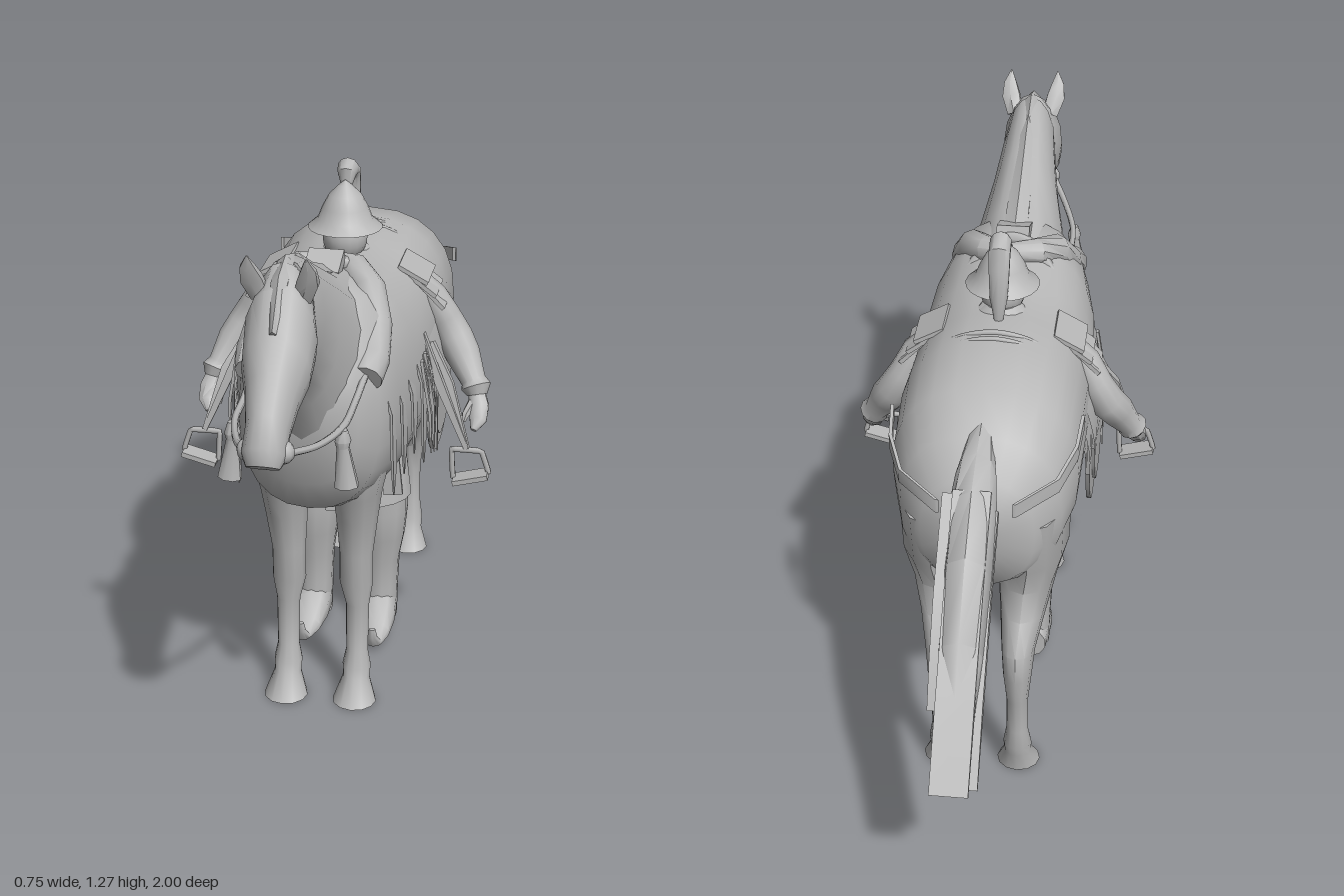
import * as THREE from 'three';
import { toCreasedNormals } from 'three/addons/utils/BufferGeometryUtils.js';

const V = (x, y, z) => new THREE.Vector3(x, y, z);

export function createModel() {
  const root = new THREE.Group();
  const grey = new THREE.MeshStandardMaterial({ color: 0xb8b8b8, side: THREE.DoubleSide });
  grey.name = 'plain grey';

  const add = (name, geo, x = 0, y = 0, z = 0, rx = 0, ry = 0, rz = 0) => {
    const m = new THREE.Mesh(geo, grey);
    m.name = name;
    m.position.set(x, y, z);
    m.rotation.set(rx, ry, rz);
    root.add(m);
    return m;
  };
  const sides = (fn) => [1, -1].forEach((s) => fn(s, s > 0 ? 'left' : 'right'));

  // Skin a row of equal rings, cap the ends and keep faces outward
  function skin(name, rings, caps = true, crease = 0.8) {
    const n = rings[0].length, pos = [], idx = [];
    rings.forEach((r) => r.forEach((p) => pos.push(p.x, p.y, p.z)));
    for (let i = 0; i < rings.length - 1; i++) for (let j = 0; j < n; j++) {
      const a = i * n + j, b = i * n + (j + 1) % n;
      idx.push(a, b, b + n, a, b + n, a + n);
    }
    if (caps) [0, rings.length - 1].forEach((e) => {
      const c = V(0, 0, 0);
      rings[e].forEach((p) => c.addScaledVector(p, 1 / n));
      const k = pos.push(c.x, c.y, c.z) / 3 - 1;
      for (let j = 0; j < n; j++) {
        const a = e * n + j, b = e * n + (j + 1) % n;
        e ? idx.push(k, a, b) : idx.push(k, b, a);
      }
    });
    const at = (i) => V(pos[3 * i], pos[3 * i + 1], pos[3 * i + 2]);
    let vol = 0;
    for (let i = 0; i < idx.length; i += 3) vol += at(idx[i]).dot(at(idx[i + 1]).cross(at(idx[i + 2])));
    if (vol < 0) idx.reverse();
    const g = new THREE.BufferGeometry();
    g.setAttribute('position', new THREE.Float32BufferAttribute(pos, 3));
    g.setIndex(idx);
    return add(name, toCreasedNormals(g, crease));
  }

  // Rows are [z1, y1, z2, y2, half width, centre x]: two opposite rim points of a ring
  function loft(name, rows, s = 1, n = 16, pow = 1) {
    const f = (v) => Math.sign(v) * Math.abs(v) ** pow;
    return skin(name, rows.map(([z1, y1, z2, y2, w, cx = 0]) => Array.from({ length: n }, (_, j) => {
      const a = (j / n) * Math.PI * 2, c = f(Math.cos(a)) / 2;
      return V(s * cx + w * f(Math.sin(a)), (y1 + y2) / 2 + c * (y1 - y2), (z1 + z2) / 2 + c * (z1 - z2));
    })));
  }

  // Points are [x, y, z, radius, second radius]: tapering limb
  function limb(name, pts, s = 1, n = 10) {
    const P = pts.map(([x, y, z]) => V(s * x, y, z));
    return skin(name, pts.map(([, , , r, q = r], i) => {
      const t = P[Math.min(i + 1, P.length - 1)].clone().sub(P[Math.max(i - 1, 0)]).normalize();
      const u = V(0, 0, 1).cross(t);
      if (u.length() < 0.2) u.set(1, 0, 0);
      u.normalize();
      const w = t.clone().cross(u);
      return Array.from({ length: n }, (_, j) => {
        const a = ((j + 0.5) / n) * Math.PI * 2;
        return P[i].clone().addScaledVector(u, r * Math.cos(a)).addScaledVector(w, q * Math.sin(a));
      });
    }));
  }
  const tube = (name, pts, r, closed = false, type = 'centripetal') => add(name, new THREE.TubeGeometry(
    new THREE.CatmullRomCurve3(pts.map((p) => V(...p)), closed, type, 0.05), 32, r, 6, closed));

  // Horse trunk, neck and head
  loft('horseBody', [[-.5, .8, -.49, .68, .06], [-.47, .87, -.465, .58, .13], [-.4, .94, -.4, .54, .185],
    [-.3, 1, -.3, .55, .215], [-.15, 1.03, -.15, .57, .22], [0, 1.02, 0, .53, .22], [.15, 1.02, .15, .5, .22],
    [.28, 1.05, .28, .495, .21], [.4, 1.06, .42, .52, .185], [.49, 1, .51, .56, .16], [.56, .95, .555, .64, .12],
    [.6, .89, .59, .75, .06]], 1, 24, 0.85);
  loft('horseNeck', [[.26, 1.06, .48, .58, .14], [.4, 1.09, .56, .7, .12], [.55, 1.165, .635, .86, .085],
    [.65, 1.215, .69, .94, .07], [.73, 1.235, .74, .97, .062]]);
  loft('horseHead', [[.7, 1.22, .69, 1, .04], [.75, 1.235, .72, .98, .062], [.81, 1.2, .765, .965, .076],
    [.865, 1.12, .81, .945, .072], [.91, 1.06, .85, .92, .056], [.96, .99, .89, .885, .045],
    [.998, .935, .92, .865, .047], [.998, .895, .95, .865, .035]]);
  loft('mane', [[.3, 1.065, .32, 1.0, .035], [.45, 1.125, .49, 1.06, .03], [.6, 1.2, .64, 1.13, .025],
    [.73, 1.243, .73, 1.18, .02], [.8, 1.222, .78, 1.16, .02], [.87, 1.13, .85, 1.1, .008]], 1, 6);

  sides((s, side) => {
    limb(side + 'Ear', [[.045, 1.17, .77, .022, .02], [.058, 1.21, .79, .026, .016], [.062, 1.24, .805, .018, .01],
      [.06, 1.268, .82, .002]], s, 6);

    // Horse legs
    loft(side + 'FrontLeg', [[.5, .76, .26, .76, .075, .09], [.49, .65, .27, .65, .078, .088], [.45, .55, .28, .55, .058, .085],
      [.425, .48, .3, .48, .05, .083], [.4, .38, .315, .38, .04, .08], [.395, .3, .315, .3, .04, .08],
      [.38, .24, .33, .24, .028, .083], [.385, .12, .335, .12, .026, .083], [.4, .08, .33, .08, .034, .083],
      [.405, .055, .34, .05, .032, .083], [.45, 0, .345, 0, .052, .083]], s, 12);
    loft(side + 'HindLeg', [[-.13, .74, -.47, .74, .09, .11], [-.14, .6, -.445, .6, .085, .11], [-.2, .51, -.42, .52, .07, .1],
      [-.27, .43, -.44, .45, .055, .095], [-.35, .35, -.494, .385, .04, .09], [-.395, .3, -.492, .31, .034, .09],
      [-.405, .22, -.475, .23, .026, .09], [-.412, .13, -.462, .13, .026, .09], [-.395, .08, -.465, .08, .034, .09],
      [-.39, .05, -.455, .05, .033, .09], [-.35, 0, -.45, 0, .052, .09]], s, 12);

    // Bridle, reins and tassel
    add(side + 'BitRing', new THREE.SphereGeometry(0.025, 10, 8), s * 0.035, .905, .945);
    tube(side + 'Rein', [[s * .045, .9, .94], [s * .085, .875, .84], [s * .115, .865, .72], [s * .12, .87, .6],
      [s * .13, .91, .46]], 0.008);
    limb(side + 'Tassel', [[.118, .865, .735, .01], [.118, .84, .735, .018], [.118, .825, .735, .014],
      [.126, .735, .735, .027, .022]], s, 8);

    // Padded collar over the shoulders
    limb(side + 'CollarRoll', [[.0, 1.05, .24, .025], [.06, 1.045, .26, .034], [.1, 1.02, .32, .04],
      [.122, .96, .38, .042], [.13, .91, .46, .042], [.126, .885, .51, .038]], s, 10);

    // Saddle cloth in two curved layers with a rounded lower edge
    [[.23, -.16, .53, 0], [.2, -.11, .57, .008]].forEach(([z0, z1, low, out], layer) => {
      const rings = [];
      for (let i = 0; i <= 12; i++) {
        const u = i / 6 - 1, z = THREE.MathUtils.lerp(z0, z1, i / 12), outer = [], inner = [];
        const bottom = low + 0.16 * Math.abs(u) ** 3, top = 0.95 - layer * 0.03;
        for (let k = 0; k <= 8; k++) {
          const y = THREE.MathUtils.lerp(top, bottom, k / 8);
          const x = 0.23 + out - 0.9 * Math.max(0, y - 0.72) ** 1.7;
          outer.push(V(s * x, y, z));
          inner.unshift(V(s * (x - 0.01), y, z));
        }
        rings.push([...outer, ...inner]);
      }
      skin(side + (layer ? 'SaddleFlap' : 'SaddleCloth'), rings, false);
    });

    // Overlapping flat cloth slats with pointed ends, lying close to chest and flank
    for (let i = 0; i < 5; i++) {
      const z = 0.43 - i * 0.06, x = Math.min(0.176 + i * 0.014, 0.222), low = 0.57 + 0.025 * (i % 3);
      limb(side + 'ClothSlat', [[x - .035, .9, z, .004, .04], [x, .78, z, .004, .044],
        [x + .003, low + .07, z, .004, .038], [x + .003, low, z, .002, .004]], s, 4);
    }
    // Loose fringe between slats and stirrup
    for (let i = 0; i < 3; i++) limb(side + 'Fringe', [[.215, .83, .16 + i * .05, .005, .01],
      [.236, .7, .16 + i * .05, .005, .012], [.24, .56 + i * .02, .16 + i * .05, .002]], s, 4);
    add(side + 'GirthFlap', new THREE.BoxGeometry(0.045, 0.1, 0.01), s * 0.145, .53, .25, 0, 0, s * 0.1);

    // Narrow strap standing off the rump
    skin(side + 'RumpStrap', [[.222, -.26], [.215, -.34], [.18, -.43], [.09, -.495]].map(([x, z], i) => {
      const y = .92 - i * .03;
      return [V(s * x, y, z), V(s * x, y - .035, z), V(s * (x - .008), y - .035, z), V(s * (x - .008), y, z)];
    }));

    // Stirrup and its leathers
    [0, 0.035].forEach((d) => limb(side + 'StirrupLeather', [[.2 + d / 2, .86 - d, .17 - d, .012, .014],
      [.25 + d / 2, .74, .19 - d / 2, .014, .012], [.315, .59, .2, .008, .012]], s, 4));
    tube(side + 'StirrupFrame', [[s * .28, .585, .2], [s * .35, .585, .2], [s * .368, .53, .2], [s * .285, .508, .2]],
      0.007, true, 'catmullrom');
    add(side + 'StirrupTread', new THREE.BoxGeometry(0.085, 0.012, 0.05), s * .327, .519, .205, 0, 0, s * 0.26);

    // Rider arm, hand and layered shoulder plates
    limb(side + 'Arm', [[.16, .94, .02, .03], [.2, .895, .015, .038], [.23, .84, .002, .04], [.257, .79, .005, .044],
      [.28, .755, .025, .042], [.31, .7, .052, .03], [.318, .688, .06, .036], [.322, .67, .068, .024]], s, 12);
    limb(side + 'Hand', [[.32, .68, .065, .02], [.328, .65, .085, .026, .02], [.33, .625, .11, .022, .016],
      [.322, .605, .13, .008]], s, 8);
    limb(side + 'Thumb', [[.315, .66, .08, .012], [.3, .635, .11, .01], [.297, .62, .118, .004]], s, 6);
    for (let i = 0; i < 3; i++)
      add(side + 'ShoulderPlate', new THREE.BoxGeometry(0.08, 0.01, 0.12 - i * 0.012), s * (.165 + i * .022),
        .968 - i * .028, .022, 0, 0, -s * (.5 + i * .15));

    // Rider leg and curled boot
    limb(side + 'RiderLeg', [[.083, .46, .04, .07, .068], [.084, .34, .04, .07, .068], [.085, .27, .037, .062, .06],
      [.083, .2, .03, .05, .05], [.083, .12, .028, .046, .048], [.083, .03, .028, .044, .05]], s, 12);
    loft(side + 'Boot', [[-.022, .09, -.022, .005, .038, .083], [.03, .13, .03, .003, .046, .083],
      [.08, .1, .085, .004, .046, .085], [.125, .055, .135, .008, .036, .088], [.165, .037, .175, .015, .022, .09],
      [.175, .05, .19, .045, .013, .09], [.178, .07, .192, .07, .008, .09]], s, 10);
  });

  // Rider trunk, skirt and belt
  loft('riderTorso', [[.13, .5, -.05, .5, .13], [.13, .75, -.05, .75, .13], [.12, .92, -.06, .92, .15],
    [.09, .98, -.03, .98, .09], [.08, 1.03, .0, 1.03, .04]]);
  loft('riderSkirt', [[.145, .58, -.045, .58, .14], [.155, .5, -.055, .5, .15], [.165, .385, -.07, .385, .163]], 1, 20);
  add('skirtPanel', new THREE.BoxGeometry(0.06, 0.11, 0.01), 0, .435, .16, -0.08);
  for (let i = 0; i < 3; i++) add('girthStrap', new THREE.BoxGeometry(0.07, 0.012, 0.03), 0, .49 + i * .012, .2 + i * .015);

  // Rider head, brimmed helmet and curved plume
  add('riderHead', new THREE.SphereGeometry(0.056, 16, 12), 0, 1.05, 0.058).scale.set(0.95, 1.1, 1);
  add('helmet', new THREE.LatheGeometry([[.088, 1.072], [.065, 1.092], [.054, 1.12], [.038, 1.15], [.016, 1.172], [0, 1.185]]
    .map(([x, y]) => new THREE.Vector2(x, y)), 20), 0, 0, 0.055);
  loft('plume', [[.05, 1.16, .028, 1.165, .012], [.05, 1.21, .02, 1.175, .022], [.02, 1.227, .008, 1.175, .026],
    [-.022, 1.205, -.002, 1.165, .026], [-.035, 1.15, -.005, 1.14, .025], [-.045, 1.08, -.01, 1.085, .022],
    [-.04, 1.02, -.015, 1.03, .012]], 1, 10);

  // Saddle pommel and cantle ridges
  tube('pommel', [[-.1, 1.0, .24], [-.05, 1.055, .27], [0, 1.07, .28], [.05, 1.055, .27], [.1, 1.0, .24]], 0.016);
  add('pommelKnob', new THREE.BoxGeometry(0.08, 0.03, 0.08), 0, 1.07, 0.32, 0.35);
  [-.1, -.13].forEach((z) => tube('cantleRidge', [[-.13, .985, z], [-.07, 1.015, z], [0, 1.028, z], [.07, 1.015, z],
    [.13, .985, z]], 0.007));

  // Tail: thick root and flat hanging locks
  loft('tail', [[-.36, .96, -.42, .87, .03], [-.46, .938, -.5, .85, .045], [-.56, .905, -.55, .77, .055],
    [-.68, .815, -.65, .68, .055], [-.8, .68, -.76, .575, .05], [-.9, .54, -.85, .48, .04]], 1, 8);
  [[0, .42, -.995, .06, .03], [.03, .52, -.84, .05, .02], [-.025, .4, -.95, .045, -.02], [.01, .37, -.93, .045, -.05]]
    .forEach(([x, y, z, w, d]) => limb('tailLock', [[x, .86 + d, -.54, w, .02], [x, .71 + d, -.7, w, .022],
      [x, (y + .7) / 2 + d * .5, (z - .72) / 2, w, .02], [x, y, z, w, .006]], 1, 4));

  return root;
}
